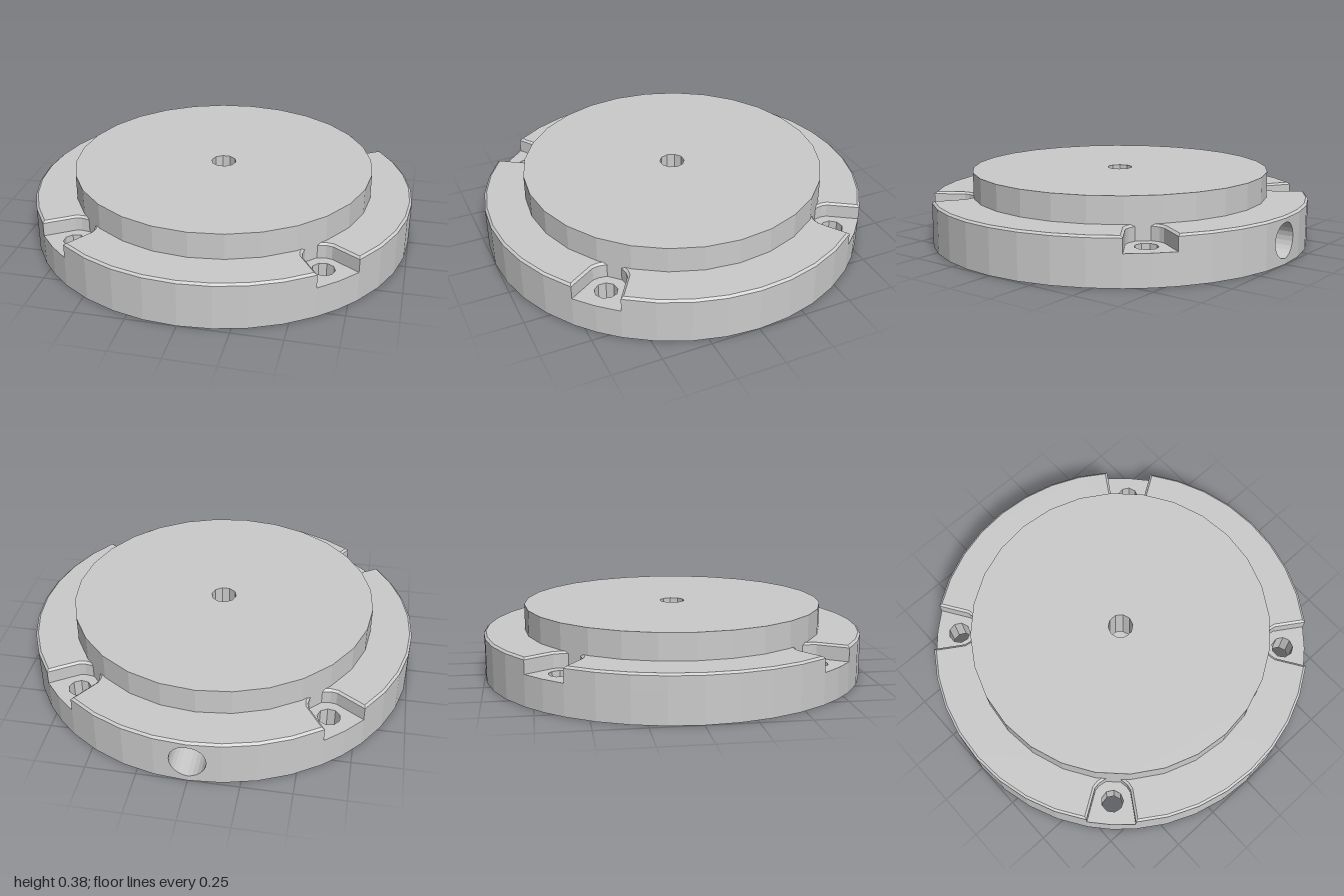
import * as THREE from 'three';

const DEG = Math.PI / 180;
const FLOOR = 0.16, EDGE = 0.23, LEDGE = 0.24, TOP = 0.375;
const NOTCH = 7.15 * DEG;              // half angle of a corner notch at the rim
const ARC = 8;                         // rim facets between two notches
const STEP = (Math.PI / 2 - 2 * NOTCH) / ARC;
const DISC_R = 0.785, BOLT_R = 0.88, PORT_R = 0.09, PORT_Y = 0.12;

const material = new THREE.MeshStandardMaterial({ color: 0xcccccc, flatShading: true });

// Plan points are [x, z]; at() lifts a plan loop to height y
const polar = (r, a) => [r * Math.cos(a), r * Math.sin(a)];
const at = (loop, y) => loop.map(([x, z]) => [x, y, z]);
const ring = (r, n, cx = 0, cz = 0) => Array.from({ length: n }, (_, i) => {
  const [x, z] = polar(r, (i / n) * 2 * Math.PI);
  return [cx + x, cz + z];
});

// Joins two closed loops of 3D points with a band of quads
function band(lower, upper, skip = () => false) {
  const pos = [];
  lower.forEach((a, i) => {
    const j = (i + 1) % lower.length, b = lower[j];
    if (!skip(a, b)) pos.push(...a, ...upper[i], ...b, ...b, ...upper[i], ...upper[j]);
  });
  const g = new THREE.BufferGeometry();
  g.setAttribute('position', new THREE.Float32BufferAttribute(pos, 3));
  g.computeVertexNormals();
  return g;
}

// Flat face at height y with holes, facing up or down
function cap(outline, holes, y, up) {
  const s = up ? -1 : 1;
  const pts = loop => loop.map(([x, z]) => new THREE.Vector2(x, s * z));
  const shape = new THREE.Shape(pts(outline));
  shape.holes = holes.map(h => new THREE.Path(pts(h)));
  return new THREE.ShapeGeometry(shape).rotateX(s * Math.PI / 2).translate(0, y, 0);
}

// Moves a plan loop inwards by d
function inset(loop, d) {
  const n = loop.length;
  return loop.map(([x, z], i) => {
    const p = loop[(i + n - 1) % n], q = loop[(i + 1) % n];
    const n1 = new THREE.Vector2(p[1] - z, x - p[0]).normalize();
    const n2 = new THREE.Vector2(z - q[1], q[0] - x).normalize();
    const m = n1.clone().add(n2).normalize();
    const k = d / Math.max(0.5, m.dot(n1));
    return [x + m.x * k, z + m.y * k];
  });
}

export function createModel() {
  const group = new THREE.Group();
  const add = (name, geometry) => {
    const mesh = new THREE.Mesh(geometry, material);
    mesh.name = name;
    group.add(mesh);
  };
  const bore = (name, loop, y0, y1) => {
    const r = [...loop].reverse();
    add(name, band(at(r, y0), at(r, y1)));
  };

  // Rim loop, and ledge loop that dips into the four notches
  const half = [[0.83, 0.09], [0.805, 0.072], [0.785, 0.045], [0.765, 0.015]];
  const notchSide = [...half.map(([r, t]) => [r, -t]), ...[...half].reverse()];
  const rim = [], ledge = [];
  for (let k = 0; k < 4; k++) {
    const mid = (45 + 90 * k) * DEG, c = Math.cos(mid), s = Math.sin(mid);
    const inner = notchSide.map(([r, t]) => [r * c - t * s, r * s + t * c]);
    const arc = Array.from({ length: ARC + 1 }, (_, i) => polar(1, mid + NOTCH + i * STEP));
    rim.push(polar(1, mid), ...arc);
    ledge.push(...inner, ...arc);
  }
  const bolts = [45, 135, 225, 315].map(a => ring(0.057, 9, ...polar(BOLT_R, a * DEG)));
  const pins = [-BOLT_R, BOLT_R].map(x => ring(0.04, 8, x, 0));

  // Base: underside and side walls, leaving the rear panel open for the port
  const rear = (a, b) => Math.abs(a[0] + b[0]) < 0.25 && a[2] + b[2] < -1.8;
  add('underside', cap(rim, [...bolts, ...pins], 0, false));
  add('baseWall', band(at(rim, 0), at(rim, FLOOR), rear));
  add('ledgeWall', band(at(ledge, FLOOR), at(ledge, EDGE), rear));

  // Ledge with chamfered edge
  const inner = inset(ledge, 0.012);
  add('ledgeChamfer', band(at(ledge, EDGE), at(inner, LEDGE)));
  add('ledgeTop', cap(inner, [ring(0.7, 28)], LEDGE, true));

  // Notch floors with bolt holes
  bolts.forEach((hole, k) => {
    const mid = (45 + 90 * k) * DEG;
    const floor = [polar(0.74, mid - NOTCH), polar(1, mid - NOTCH), polar(1, mid),
      polar(1, mid + NOTCH), polar(0.74, mid + NOTCH)];
    add('notchFloor', cap(floor, [hole], FLOOR, true));
    bore('boltHole', hole, 0, FLOOR);
  });

  // Blind pin holes in the underside
  pins.forEach(hole => {
    bore('pinHole', hole, 0, 0.12);
    add('pinHoleEnd', cap(hole, [], 0.12, false));
  });

  // Raised disc with centre bore
  const disc = ring(DISC_R, 28), centre = ring(0.065, 10);
  add('discWall', band(at(disc, FLOOR), at(disc, TOP)));
  add('discTop', cap(disc, [centre], TOP, true));
  bore('centreBore', centre, PORT_Y, TOP);

  // Rear port: faceted panel around the mouth, then a channel to the centre bore
  const onRim = (phi, y) => {
    const r = Math.cos(STEP / 2) / Math.cos(Math.abs(phi) - STEP / 2);
    return [r * Math.sin(phi), y, -r * Math.cos(phi)];
  };
  const mouth = [], frame = [], end = [], tip = [];
  for (let i = 0; i < 24; i++) {
    const t = (i / 24) * 2 * Math.PI, c = Math.cos(t), s = Math.sin(t);
    const m = Math.max(Math.abs(c), Math.abs(s));
    mouth.push(onRim(PORT_R * c, PORT_Y + PORT_R * s));
    frame.push(onRim(STEP * c / m, EDGE / 2 * (1 + s / m)));
    end.push([PORT_R * c, PORT_Y + PORT_R * s, 0.1]);
    tip.push([0, PORT_Y, 0.1]);
  }
  add('rearPanel', band(frame, mouth));
  add('rearPort', band(mouth, end));
  add('rearPortEnd', band(end, tip));

  return group;
}
